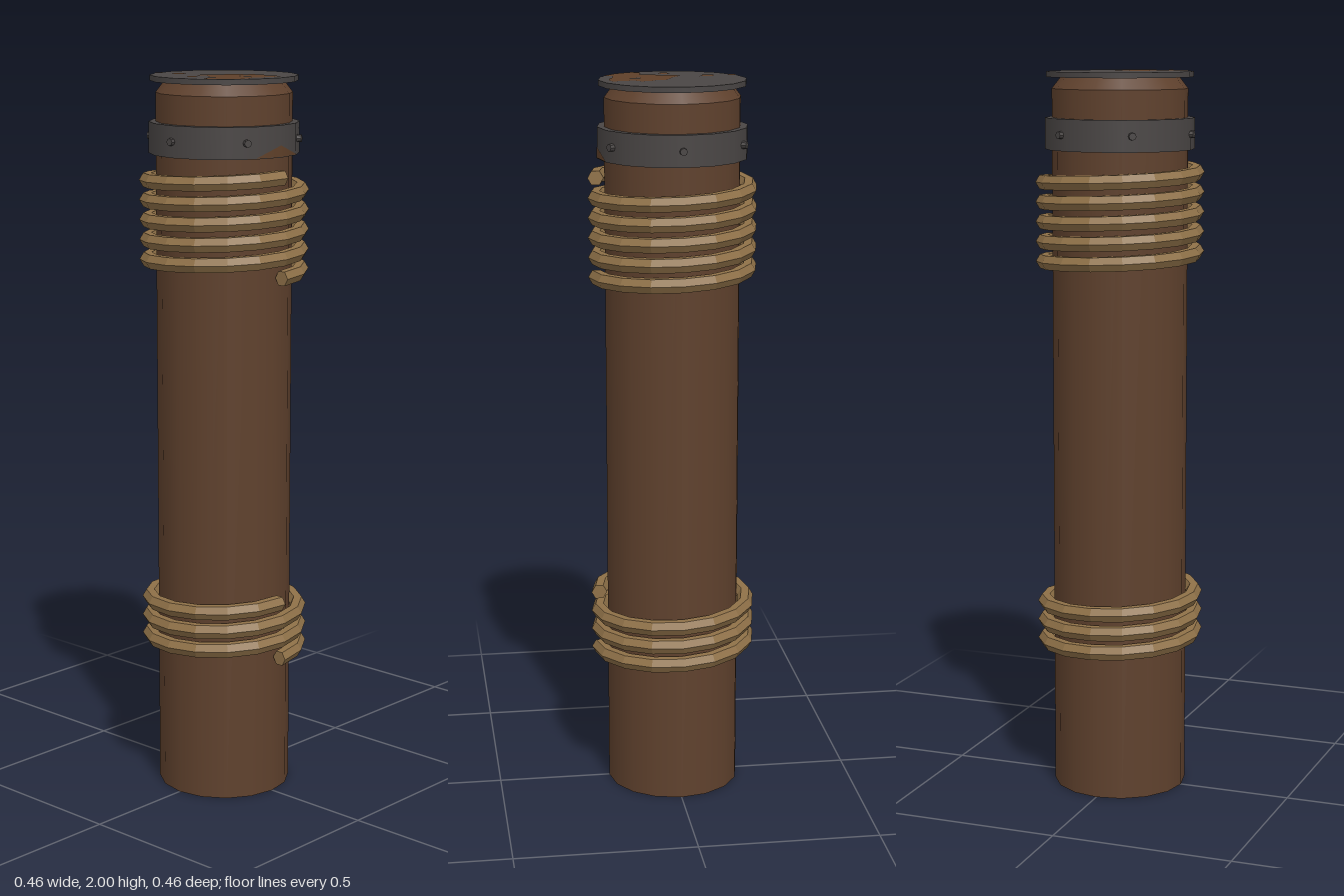
import * as THREE from 'three';

const SIDES = 16;

const material = (name, color) => {
  const m = new THREE.MeshStandardMaterial({ color });
  m.name = name;
  return m;
};

function flat(geometry) {
  const g = geometry.toNonIndexed();
  g.computeVertexNormals();
  return g;
}

// Six-sided rope climbing around the post, made by bending a long prism
function ropeCoil(startY, turns) {
  const ringRadius = 0.209, ropeRadius = 0.022, pitch = 0.054;
  const g = new THREE.CylinderGeometry(ropeRadius, ropeRadius, 1, 6, SIDES * turns);
  const p = g.attributes.position;
  for (let i = 0; i < p.count; i++) {
    const t = (p.getY(i) + 0.5) * turns;
    const a = t * Math.PI * 2;
    const r = ringRadius - p.getZ(i);
    p.setXYZ(i, r * Math.cos(a), startY + t * pitch + p.getX(i), -r * Math.sin(a));
  }
  return flat(g);
}

// Flat patch lying on the cap, outlined by [x, z] points
function patch(points, holes = []) {
  const toVec = ([x, z]) => new THREE.Vector2(x, -z);
  const shape = new THREE.Shape(points.map(toVec));
  holes.forEach(h => shape.holes.push(new THREE.Path(h.map(toVec))));
  return new THREE.ShapeGeometry(shape).rotateX(-Math.PI / 2);
}

export function createModel() {
  const wood = material('wood', 0x5f412d);
  const iron = material('iron', 0x4a4645);
  const rust = material('rust', 0x5f4029);
  const rope = material('rope', 0x8f7148);

  const model = new THREE.Group();
  model.name = 'ropedPost';
  const add = (name, geometry, mat, x = 0, y = 0, z = 0) => {
    const mesh = new THREE.Mesh(geometry, mat);
    mesh.name = name;
    mesh.position.set(x, y, z);
    model.add(mesh);
    return mesh;
  };

  // Wooden post with a chamfered head
  add('post', new THREE.CylinderGeometry(0.185, 0.185, 1.953, SIDES), wood, 0, 0.9765);
  add('postChamfer', new THREE.CylinderGeometry(0.158, 0.185, 0.035, SIDES), wood, 0, 1.9705);

  // Iron cap plate and band
  add('capPlate', new THREE.CylinderGeometry(0.2, 0.2, 0.015, SIDES), iron, 0, 1.9915);
  add('band', new THREE.CylinderGeometry(0.204, 0.204, 0.085, SIDES), iron, 0, 1.833);

  // Six studs around the band
  for (let i = 0; i < 6; i++) {
    const a = Math.PI / 6 + i * Math.PI / 3;
    const stud = add('stud', flat(new THREE.CylinderGeometry(0.01, 0.011, 0.02, 8).rotateX(Math.PI / 2)),
      iron, 0.203 * Math.cos(a), 1.833, 0.203 * Math.sin(a));
    stud.rotation.y = Math.PI / 2 - a;
  }

  // Rust stains on the cap
  add('rustLarge', patch([
    [-0.03, 0.06], [-0.005, 0.03], [0.01, -0.01], [0.02, -0.03], [0.045, -0.03], [0.06, -0.05],
    [0.09, -0.06], [0.105, -0.04], [0.14, -0.04], [0.165, -0.055], [0.172, -0.02], [0.17, 0.01],
    [0.157, 0.04], [0.152, 0.075], [0.178, 0.084], [0.14, 0.139], [0.1, 0.165], [0.088, 0.172],
    [0.066, 0.148], [0.075, 0.11], [0.04, 0.105], [0.02, 0.08], [-0.02, 0.083],
  ], [[[0.075, 0.022], [0.09, 0.013], [0.112, 0.016], [0.112, 0.028], [0.085, 0.03]]]), rust, 0, 2, 0);
  add('rustMedium', patch([
    [-0.125, 0.07], [-0.115, 0.045], [-0.078, 0.042], [-0.09, 0.065], [-0.093, 0.083], [-0.115, 0.085],
  ]), rust, 0, 2, 0);
  [[-0.172, 0.075, 0.013], [0.006, 0.13, 0.017]].forEach(([x, z, r]) =>
    add('rustSpot', new THREE.CircleGeometry(r, 6).rotateX(-Math.PI / 2), rust, x, 2, z));

  // Rust stain wrapped over two faces of the band
  const stain = new THREE.CylinderGeometry(0.2055, 0.2055, 0.001, 2, 1, true, Math.PI * 3 / 8, Math.PI / 4);
  stain.attributes.position.setY(1, 0.03);
  add('bandRust', stain, rust, 0, 1.793);

  // Rope wrappings
  add('upperRope', ropeCoil(1.468, 5), rope);
  add('lowerRope', ropeCoil(0.399, 3), rope);

  return model;
}
